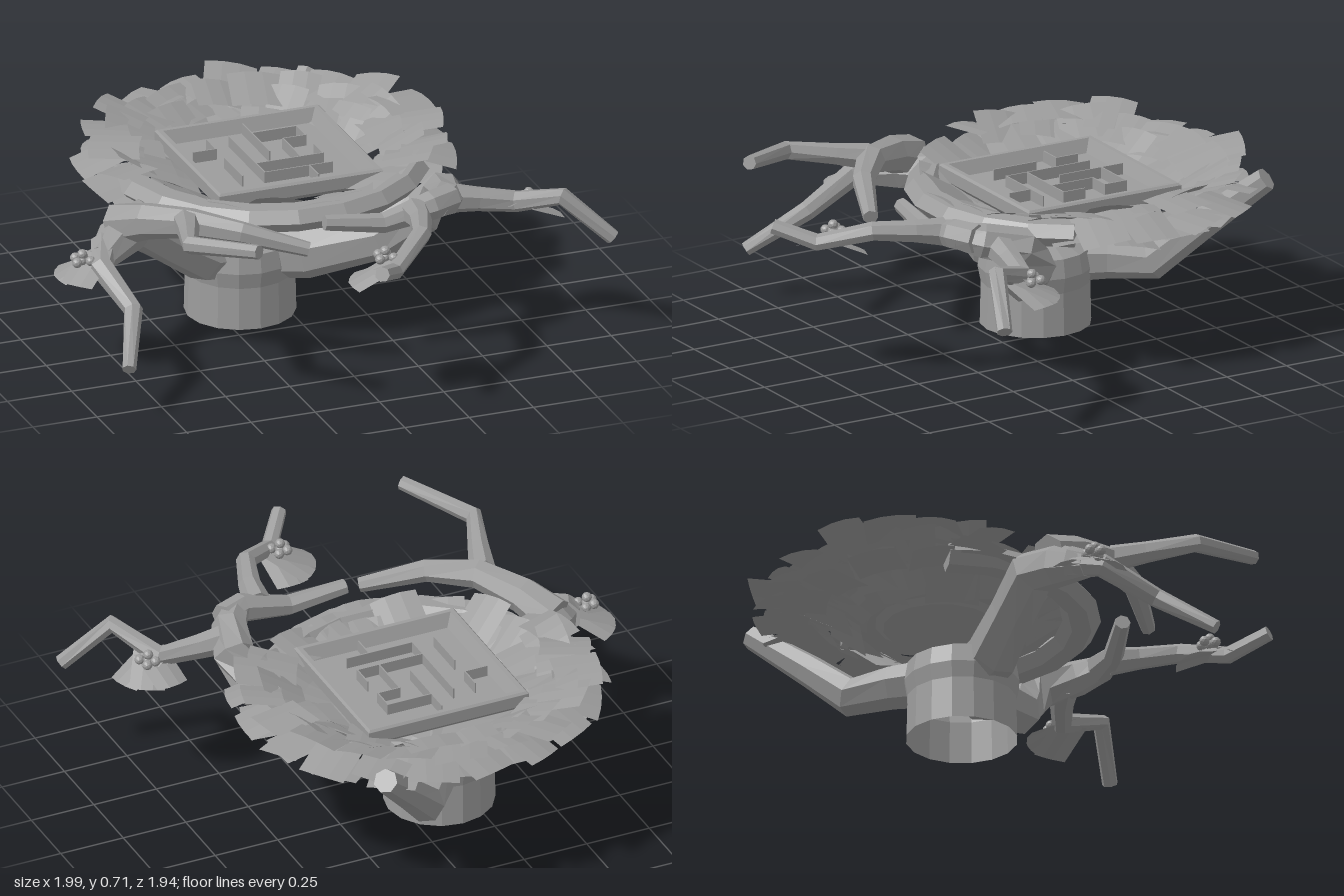
import * as THREE from 'three';
import { mergeGeometries } from 'three/addons/utils/BufferGeometryUtils.js';

const clay = new THREE.MeshStandardMaterial({ color: 0x9c9c9c, flatShading: true, side: THREE.DoubleSide });
clay.name = 'grey clay';

let seed = 7;
const rnd = (a = 1) => {
  seed = (seed * 16807) % 2147483647;
  return (seed / 2147483647 * 2 - 1) * a;
};

function add(parent, name, geometry) {
  const mesh = new THREE.Mesh(geometry, clay);
  mesh.name = name;
  parent.add(mesh);
  return mesh;
}

// Tapered faceted limb through points [x, y, z, radius]
function limb(points, sides = 7, squash = 1) {
  const p = points.map(q => new THREE.Vector3(q[0], q[1], q[2]));
  const pos = [], index = [];
  const n = p.length;
  p.forEach((c, i) => {
    const t = p[Math.min(i + 1, n - 1)].clone().sub(p[Math.max(i - 1, 0)]).normalize();
    const side = new THREE.Vector3(0, 1, 0).cross(t).normalize();
    const up = t.clone().cross(side);
    for (let k = 0; k < sides; k++) {
      const a = k / sides * Math.PI * 2, r = points[i][3];
      const v = c.clone().addScaledVector(side, Math.cos(a) * r).addScaledVector(up, Math.sin(a) * r * squash);
      pos.push(v.x, v.y, v.z);
      if (i < n - 1) {
        const k2 = (k + 1) % sides, o = i * sides;
        index.push(o + k, o + k2, o + sides + k, o + k2, o + sides + k2, o + sides + k);
      }
    }
  });
  for (let k = 1; k < sides - 1; k++) {
    const o = (n - 1) * sides;
    index.push(0, k + 1, k, o, o + k, o + k + 1);
  }
  const g = new THREE.BufferGeometry();
  g.setAttribute('position', new THREE.Float32BufferAttribute(pos, 3));
  g.setIndex(index);
  g.computeVertexNormals();
  return g;
}

// Thin curved bark plate lying flat, arched across its width
function plate(w, d, arch) {
  const g = new THREE.PlaneGeometry(w, d, 3, 1).rotateX(-Math.PI / 2);
  const a = g.attributes.position;
  for (let i = 0; i < a.count; i++) {
    const u = a.getX(i) / w * 2;
    a.setY(i, a.getY(i) - arch * u * u);
    a.setZ(i, a.getZ(i) - arch * u * u);
  }
  g.computeVertexNormals();
  return g;
}

function createTree(root) {
  const tree = new THREE.Group();
  tree.name = 'tree';
  root.add(tree);

  // Open-bottomed stump with a rounded crotch where the limbs part
  const profile = [[0.204, 0], [0.2, 0.16], [0.212, 0.22], [0.2, 0.29], [0.14, 0.32], [0, 0.325]];
  add(tree, 'trunk', new THREE.LatheGeometry(profile.map(q => new THREE.Vector2(...q)), 16))
    .position.set(-0.155, 0, -0.23);

  const limbs = {
    rightArm: [[-0.2, 0.24, -0.2, 0.1], [-0.33, 0.27, -0.15, 0.1], [-0.48, 0.37, -0.11, 0.088],
      [-0.62, 0.47, -0.07, 0.09], [-0.72, 0.46, 0.0, 0.08], [-0.82, 0.43, 0.09, 0.05]],
    rightDroopingBranch: [[-0.78, 0.45, 0.03, 0.06], [-0.84, 0.42, 0.14, 0.044], [-0.8, 0.33, 0.35, 0.036], [-0.895, 0.19, 0.55, 0.026]],
    rightInnerBranch: [[-0.71, 0.5, -0.03, 0.08], [-0.64, 0.55, 0.09, 0.068], [-0.53, 0.585, 0.24, 0.055],
      [-0.38, 0.57, 0.36, 0.042], [-0.16, 0.51, 0.46, 0.028]],
    rightForwardBranch: [[-0.55, 0.59, 0.24, 0.05], [-0.59, 0.61, 0.36, 0.04], [-0.65, 0.635, 0.53, 0.034], [-0.48, 0.68, 0.78, 0.027]],
    leftArm: [[-0.12, 0.24, -0.18, 0.1], [0.04, 0.255, -0.07, 0.098], [0.27, 0.335, 0.07, 0.085],
      [0.42, 0.435, 0.12, 0.085], [0.465, 0.53, 0.2, 0.078], [0.42, 0.565, 0.33, 0.066], [0.36, 0.58, 0.4, 0.05]],
    leftInnerBranch: [[0.43, 0.58, 0.36, 0.055], [0.34, 0.58, 0.4, 0.055], [0.15, 0.54, 0.4, 0.038], [-0.07, 0.57, 0.385, 0.029]],
    leftForwardBranch: [[0.27, 0.57, 0.41, 0.054], [0.25, 0.585, 0.52, 0.042], [0.2, 0.595, 0.66, 0.036],
      [0.04, 0.53, 0.8, 0.032], [-0.06, 0.585, 0.93, 0.028]],
    leftOuterBranch: [[0.42, 0.55, 0.28, 0.06], [0.56, 0.53, 0.3, 0.046], [0.7, 0.51, 0.33, 0.04],
      [0.81, 0.58, 0.5, 0.034], [0.98, 0.42, 0.57, 0.029]],
    backArm: [[-0.14, 0.24, -0.26, 0.095], [-0.03, 0.24, -0.46, 0.08], [0.07, 0.235, -0.59, 0.072],
      [0.2, 0.39, -0.72, 0.06], [0.37, 0.58, -0.89, 0.045]],
  };
  for (const [name, pts] of Object.entries(limbs)) add(tree, name, limb(pts));

  // Broad flattened limb sweeping around the front of the nest
  const sweep = [];
  for (let i = 0; i <= 9; i++) {
    const a = -1.75 + i / 9 * 2.85;
    sweep.push([-0.03 + Math.sin(a) * 0.525, 0.535, -0.28 + Math.cos(a) * 0.51, 0.07]);
  }
  add(tree, 'nestCradle', limb(sweep, 6, 0.7));
}

function createNest(root) {
  const nest = new THREE.Group();
  nest.name = 'nest';
  nest.position.set(-0.03, 0, -0.28);
  root.add(nest);

  // Rows of plates: radius, height, pitch, count, leaves front open
  const rows = [
    [0.37, 0.52, 0.5, 17, false],
    [0.44, 0.565, 0.45, 19, false],
    [0.5, 0.6, 0.4, 21, true],
    [0.58, 0.62, 0.15, 21, true],
    [0.61, 0.56, -0.2, 20, true],
    [0.55, 0.515, 0, 17, true],
  ];
  rows.forEach(([r, y, pitch, count, open], row) => {
    const plates = [];
    for (let i = 0; i < count; i++) {
      const a = (i + (row % 2) / 2) / count * Math.PI * 2 - Math.PI;
      if (open && a > -1.45 && a < 0.95) continue;
      plates.push(plate(0.175 + rnd(0.025), 0.175 + rnd(0.025), 0.007)
        .rotateY(rnd(0.3)).rotateZ(rnd(0.2)).rotateX(-pitch + rnd(0.2))
        .translate(0, y + rnd(0.018), r + rnd(0.02)).rotateY(a));
    }
    add(nest, 'barkPlateRow', mergeGeometries(plates));
  });
  add(nest, 'nestFloor', new THREE.CylinderGeometry(0.24, 0.21, 0.02, 16)).position.y = 0.505;
}

function createMaze(root) {
  const maze = new THREE.Group();
  maze.name = 'maze';
  maze.position.set(-0.03, 0.035, -0.26);
  root.add(maze);

  // Square tray with bevelled rim
  const tray = [[0, 0.485], [0.3, 0.485], [0.32, 0.505], [0.32, 0.55], [0.312, 0.558], [0.295, 0.558], [0.27, 0.51], [0, 0.51]];
  add(maze, 'tray', new THREE.LatheGeometry(tray.map(([r, y]) => new THREE.Vector2(r * Math.SQRT2, y)), 4, Math.PI / 4));

  // Walls on a grid: column and row of start, then of end
  const walls = [
    [0, 2, 1, 2], [1, 1, 1, 2], [2, 1, 2, 3], [1, 3, 1, 5], [2, 3, 2, 5], [3, 0, 3, 2],
    [3, 1, 5, 1], [5, 1, 5, 2], [4, 2, 5, 2], [3, 2, 3, 3], [4, 2, 4, 4], [2, 4, 3, 4],
    [3, 4, 5, 4], [5, 3, 5, 4], [2, 5, 5, 5], [4, 5, 4, 6],
  ];
  const s = 0.087, t = 0.005;
  for (const [x0, z0, x1, z1] of walls) {
    add(maze, 'mazeWall', new THREE.BoxGeometry((x1 - x0) * s + t, 0.045, (z1 - z0) * s + t))
      .position.set((x0 + x1) / 2 * s - 0.26, 0.53, (z0 + z1) / 2 * s - 0.26);
  }
}

// Fan of drooping leaves with a berry cluster at its base
function createSprig(root, x, y, z, heading, berry) {
  const sprig = new THREE.Group();
  sprig.name = 'sprig';
  sprig.position.set(x, y, z);
  root.add(sprig);
  for (let i = -1; i <= 1; i++) {
    add(sprig, 'leaf', plate(0.13, 0.17, 0.012).translate(0, 0.004 * i, 0.085)
      .rotateX(0.45).rotateY(heading + i * 0.7));
  }
  const spots = [[0, 0, 0], [0.026, 0, 0.018], [-0.026, 0, 0.016], [0.016, 0, -0.028], [-0.018, 0.004, -0.024], [0, 0.024, 0]];
  for (const [bx, by, bz] of spots) {
    add(sprig, 'berry', new THREE.IcosahedronGeometry(0.019, 1))
      .position.set(berry[0] - x + bx, berry[1] - y + by, berry[2] - z + bz);
  }
}

export function createModel() {
  const root = new THREE.Group();
  root.name = 'nestMazeTree';
  createTree(root);
  createNest(root);
  createMaze(root);
  createSprig(root, -0.84, 0.45, 0.08, -1.6, [-0.9, 0.44, 0.1]);
  createSprig(root, 0.72, 0.52, 0.36, 2.6, [0.75, 0.51, 0.32]);
  createSprig(root, 0.04, 0.55, 0.76, -2.35, [0.03, 0.56, 0.73]);
  return root;
}
